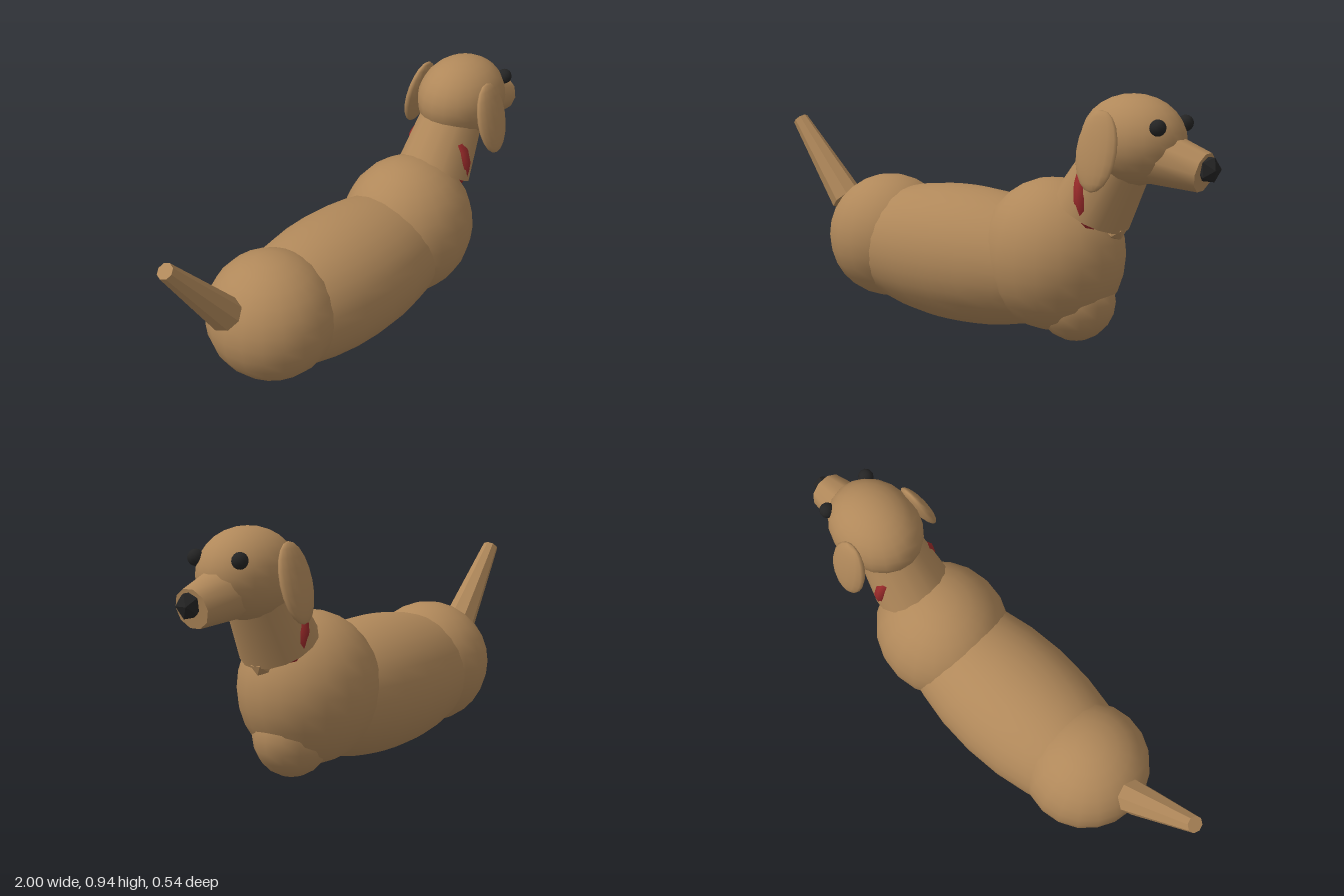
import * as THREE from 'three';

const tan = new THREE.MeshStandardMaterial({ name: 'tan fur', color: 0xb0885a });
const black = new THREE.MeshStandardMaterial({ name: 'black', color: 0x242424 });
const red = new THREE.MeshStandardMaterial({ name: 'red collar', color: 0x9a2a2a });

export function createModel() {
  const dog = new THREE.Group();
  dog.name = 'dog';

  const add = (name, geometry, material, x = 0, y = 0, z = 0) => {
    const mesh = new THREE.Mesh(geometry, material);
    mesh.name = name;
    mesh.position.set(x, y, z);
    dog.add(mesh);
    return mesh;
  };

  // smooth ellipsoid with radii r = [x, y, z]
  const ball = (name, material, p, r, w = 20, h = 14) =>
    add(name, new THREE.SphereGeometry(1, w, h).scale(...r), material, ...p);

  // tapered limb between two points in the XY plane
  const limb = (name, from, to, r0, r1, sides, flat = false) => {
    const a = new THREE.Vector3(...from, 0);
    const b = new THREE.Vector3(...to, 0);
    const dir = b.clone().sub(a);
    let geometry = new THREE.CylinderGeometry(r1, r0, dir.length(), sides);
    if (flat) {
      geometry = geometry.toNonIndexed();
      geometry.computeVertexNormals();
    }
    const mid = a.add(b).multiplyScalar(0.5);
    const mesh = add(name, geometry, tan, mid.x, mid.y, 0);
    mesh.quaternion.setFromUnitVectors(new THREE.Vector3(0, 1, 0), dir.normalize());
    return mesh;
  };

  // faceted gem shape, flat normals come from detail 0
  const nugget = (name, material, p, r) =>
    add(name, new THREE.IcosahedronGeometry(1, 0).scale(...r), material, ...p);

  // long body
  ball('rump', tan, [-0.48, 0.308, 0], [0.25, 0.25, 0.25]);
  const belly = ball('belly', tan, [-0.09, 0.278, 0], [0.6, 0.27, 0.272], 24, 16);
  belly.rotation.z = -0.02;
  ball('chest', tan, [0.32, 0.325, 0], [0.28, 0.29, 0.263]);
  ball('breast', tan, [0.42, 0.16, 0], [0.155, 0.155, 0.145], 14, 10);
  limb('tail', [-0.715, 0.435], [-0.975, 0.752], 0.068, 0.032, 8, true);

  // neck, collar and tag
  limb('neck', [0.49, 0.51], [0.62, 0.74], 0.152, 0.122, 16);
  const ring = new THREE.TorusGeometry(0.13, 0.026, 8, 16).rotateY(Math.PI / 2);
  add('collar', ring, red, 0.52, 0.57, 0).rotation.z = 0.1;
  nugget('collarTag', tan, [0.592, 0.445, 0], [0.04, 0.04, 0.04]);

  // head
  ball('head', tan, [0.66, 0.782, 0], [0.2, 0.165, 0.166]);
  limb('muzzle', [0.73, 0.735], [0.945, 0.686], 0.107, 0.073, 10);
  nugget('nose', black, [0.958, 0.699, 0], [0.048, 0.051, 0.044]);

  // mirrored eyes and drooping ears
  for (const s of [1, -1]) {
    const side = s > 0 ? 'left' : 'right';
    ball(side + 'Eye', black, [0.813, 0.842, s * 0.1], [0.03, 0.03, 0.03], 10, 8);
    const ear = ball(side + 'Ear', tan, [0.617, 0.755, s * 0.183], [0.083, 0.146, 0.028], 14, 10);
    ear.rotation.x = -s * 0.24;
  }
  return dog;
}
